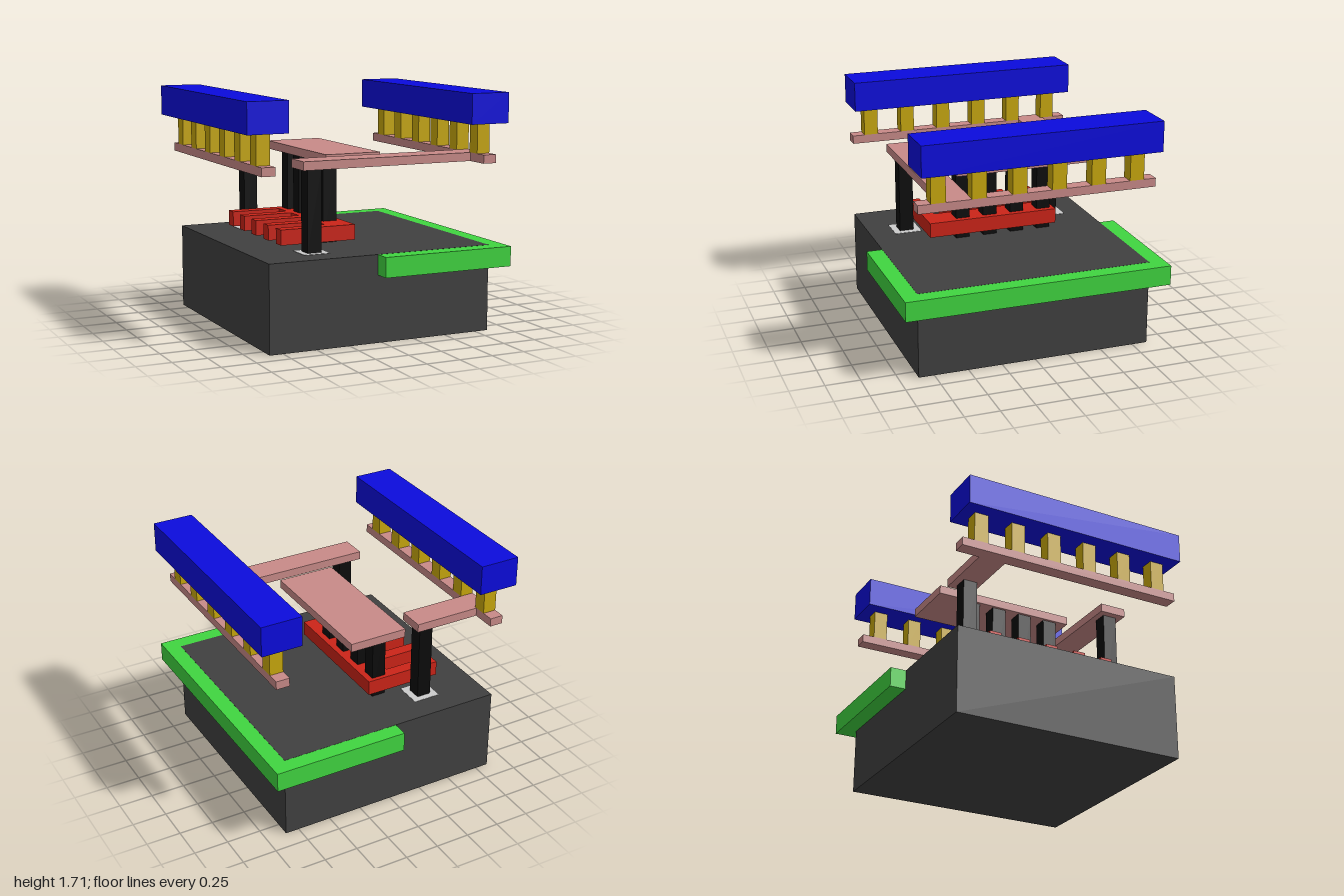
import * as THREE from 'three';

const material = (color) => new THREE.MeshStandardMaterial({ color });
const mats = {
  dark: material(0x404040),
  green: material(0x40d540),
  grey: material(0xcccccc),
  red: material(0xcc2418),
  black: material(0x0c0c0c),
  pink: material(0xc88a88),
  yellow: material(0xc8a80d),
  blue: material(0x0b0bdd),
};

// Box given by its [min, max] range on each axis
function box(parent, name, mat, [x0, x1], [y0, y1], [z0, z1]) {
  const mesh = new THREE.Mesh(new THREE.BoxGeometry(x1 - x0, y1 - y0, z1 - z0), mats[mat]);
  mesh.position.set((x0 + x1) / 2, (y0 + y1) / 2, (z0 + z1) / 2);
  mesh.name = name;
  parent.add(mesh);
}

const around = (c, size) => [c - size / 2, c + size / 2];

function group(parent, name) {
  const g = new THREE.Group();
  g.name = name;
  parent.add(g);
  return g;
}

export function createModel() {
  const model = new THREE.Group();
  model.name = 'layeredDevice';
  const top = 0.625;
  const depth = [-0.863, 0.863];

  // Base block with a wider slab set flush into its left half
  box(model, 'baseBlock', 'dark', [-0.85, 0.85], [0, top], depth);
  box(model, 'sideSlab', 'green', [-0.035, 0.965], [0.48, top - 0.001], [-0.98, 0.98]);

  // Contact pads flush with the base top, under the two outer pillars
  for (const z of [-0.58, 0.58]) {
    box(model, 'contactPad', 'grey', [-0.51, -0.31], [0.6, top + 0.002], around(z, 0.2));
  }

  // Comb: spine with five teeth
  const comb = group(model, 'comb');
  const combY = [0.67, 0.78];
  box(comb, 'combSpine', 'red', [-0.23, -0.03], combY, [-0.495, 0.495]);
  for (let i = -2; i <= 2; i++) {
    box(comb, 'combTooth', 'red', [-0.605, -0.23], combY, around(i * 0.225, 0.09));
  }

  // Pillars: two outer ones and a row of four through the comb spine
  const pillars = group(model, 'pillars');
  const pillar = (x, z) => box(pillars, 'pillar', 'black', around(x, 0.105), [top, 1.21], around(z, 0.105));
  for (const z of [-0.58, 0.58]) pillar(-0.412, z);
  for (let i = 0; i < 4; i++) pillar(-0.128, 0.228 - i * 0.213);

  // Thin upper layer: centre plate and the two arms reaching the rails
  const layer = group(model, 'upperLayer');
  const layerY = [1.21, 1.272];
  box(layer, 'centrePlate', 'pink', [-0.2, 0.23], layerY, [-0.69, 0.37]);
  box(layer, 'frontArm', 'pink', [-0.515, 0.8], layerY, [0.48, 0.68]);
  box(layer, 'backArm', 'pink', [-0.8, -0.31], layerY, [-0.685, -0.485]);

  // Each side: rail, six posts and a heavy top beam
  for (const s of [-1, 1]) {
    const side = group(model, s > 0 ? 'leftRailStack' : 'rightRailStack');
    box(side, 'rail', 'pink', around(s * 0.85, 0.1), layerY, depth);
    for (let i = 0; i < 6; i++) {
      box(side, 'post', 'yellow', around(s * 0.85, 0.1), [1.272, 1.49], around((i - 2.5) * 0.288, 0.105));
    }
    box(side, 'topBeam', 'blue', around(s * 0.85, 0.3), [1.49, 1.71], depth);
  }
  return model;
}
